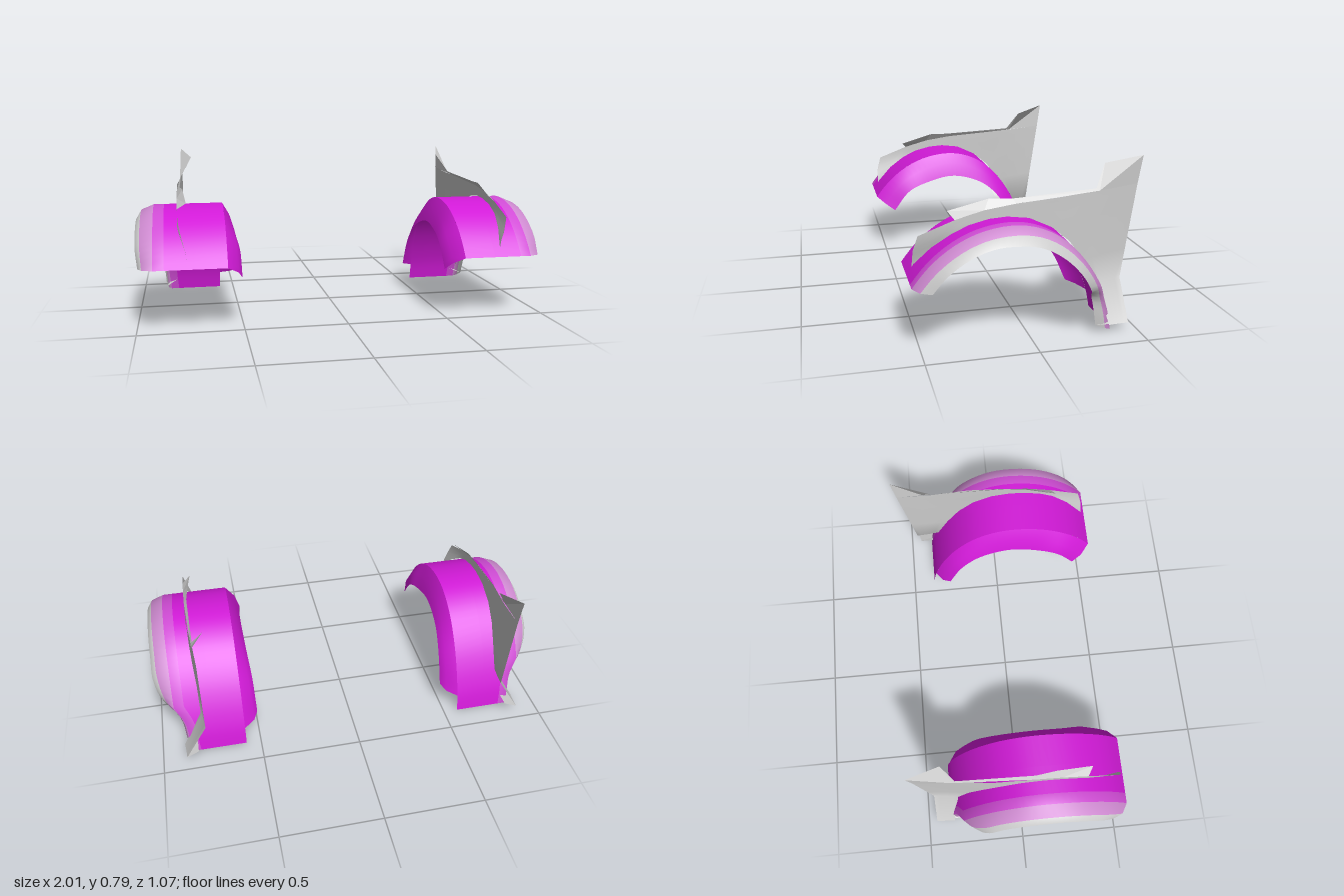
import * as THREE from 'three';

const N = 36; // stations along each arch
const paint = (color, flatShading = false) =>
  new THREE.MeshStandardMaterial({ color, flatShading, side: THREE.DoubleSide });
const magenta = paint(0xd21ad8);
const blendInner = paint(0xd04cd5);
const blendOuter = paint(0xce8ad0);
const grey = paint(0xcccccc);
const greyFlat = paint(0xcccccc, true);

const V = (x, y, z) => new THREE.Vector3(x, y, z);
const toRow = pts => pts.map(p => V(...p));
const spline = pts => new THREE.CatmullRomCurve3(toRow(pts)).getSpacedPoints(N);
const lerpRow = (a, b, t) => a.map((p, i) => p.clone().lerp(b[i], t));

// Skin between rows of points; indexFor gives the faces between two row numbers
function loft(rows) {
  const n = rows[0].length;
  const geo = new THREE.BufferGeometry();
  geo.setAttribute('position', new THREE.Float32BufferAttribute(rows.flat().flatMap(p => [p.x, p.y, p.z]), 3));
  const indexFor = (from, to) => {
    const idx = [];
    for (let r = from; r < to; r++) {
      for (let i = 0; i < n - 1; i++) {
        const a = r * n + i, b = a + 1, c = a + n, d = c + 1;
        idx.push(a, b, c, b, d, c);
      }
    }
    return idx;
  };
  geo.setIndex(indexFor(0, rows.length - 1));
  geo.computeVertexNormals();
  return { geo, indexFor };
}

function mesh(name, geo, material) {
  const m = new THREE.Mesh(geo, material);
  m.name = name;
  return m;
}

// Wheel arch profile, front to rear, as [y, z]
const archPath = [[0.31, 0.537], [0.37, 0.49], [0.43, 0.43], [0.49, 0.345], [0.535, 0.24], [0.555, 0.11],
  [0.54, 0], [0.49, -0.105], [0.42, -0.185], [0.33, -0.255], [0.24, -0.305], [0.17, -0.335], [0.09, -0.362], [0.002, -0.38]];

function createFender() {
  const fender = new THREE.Group();

  // Arch skin: crown, rounded shoulder and outer lip
  const crown = spline(archPath.map(([y, z]) => [0.575, y, z]));
  const lip = spline([[0.985, 0.305, 0.46], [0.997, 0.38, 0.4], [1, 0.45, 0.3], [1, 0.485, 0.2], [1, 0.49, 0.11],
    [1, 0.475, 0], [1, 0.42, -0.1], [1, 0.34, -0.18], [0.965, 0.25, -0.237], [0.905, 0.2, -0.26],
    [0.885, 0.16, -0.275], [0.878, 0.1, -0.288], [0.87, 0.038, -0.3]]);
  const shoulder = crown.map((p, i) => V(Math.min(0.915, lip[i].x - 0.02), p.y, p.z));
  const bulge = shoulder.map((p, i) => {
    const q = p.clone().lerp(lip[i], 0.38);
    q.x = THREE.MathUtils.lerp(p.x, lip[i].x, 0.72);
    return q;
  });
  const arch = loft([crown, lerpRow(crown, shoulder, 0.45), lerpRow(crown, shoulder, 0.85), shoulder, bulge, lip]);
  const bands = [['archCrown', 0, 2, magenta], ['archShoulder', 2, 3, blendInner],
    ['archBulge', 3, 4, blendOuter], ['archLip', 4, 5, grey]];
  for (const [name, from, to, material] of bands) {
    const part = arch.geo.clone();
    part.setIndex(arch.indexFor(from, to));
    fender.add(mesh(name, part, material));
  }

  // Inner skirt turning down from the crown
  const skirtTop = spline(archPath.slice(0, 13).map(([y, z]) => [0.575, y, z]));
  const skirtEdge = spline([[0.503, 0.24, 0.44], [0.505, 0.35, 0.35], [0.515, 0.397, 0.24], [0.52, 0.427, 0.08],
    [0.515, 0.378, -0.09], [0.505, 0.28, -0.2], [0.5, 0.12, -0.28]]);
  const skirtMid = lerpRow(skirtTop, skirtEdge, 0.45);
  skirtMid.forEach((p, i) => { p.x = skirtEdge[i].x + 0.022; });
  fender.add(mesh('innerSkirt', loft([skirtEdge, skirtMid, skirtTop]).geo, magenta));

  // Upright side panel: pairs of [lower y, lower z, upper y, upper z]
  const pairs = [[0.35, 0.514, 0.43, 0.51], [0.362, 0.507, 0.5, 0.49], [0.44, 0.43, 0.56, 0.33], [0.498, 0.345, 0.578, 0.265],
    [0.533, 0.27, 0.595, 0.2], [0.555, 0.18, 0.605, 0.13], [0.56, 0.1, 0.615, 0.06], [0.547, 0, 0.63, -0.13],
    [0.497, -0.105, 0.645, -0.33], [0.425, -0.19, 0.665, -0.515], [0.33, -0.262, 0.36, -0.47],
    [0.21, -0.325, 0.22, -0.45], [0.04, -0.36, 0.04, -0.455]];
  // The panel leans inward to front and rear and flares out at the foot
  const { smoothstep, lerp } = THREE.MathUtils;
  const panelX = (y, z) => z > 0.2
    ? 0.8 - 0.04 * (1 - smoothstep(y, 0.34, 0.52))
    : 0.8 - 0.03 * smoothstep(-z, 0.1, 0.47) + 0.11 * (1 - THREE.MathUtils.clamp((y - 0.04) / 0.18, 0, 1));
  const panelRows = [];
  for (let r = 0; r <= 5; r++) {
    panelRows.push(pairs.map(([y0, z0, y1, z1]) => {
      const y = lerp(y0, y1, r / 5), z = lerp(z0, z1, r / 5);
      return V(panelX(y, z), y, z);
    }));
  }
  fender.add(mesh('sidePanel', loft(panelRows).geo, grey));

  // Narrow flange folded inward along the panel top
  const flangeLow = [[0.8, 0.56, 0.33], [0.8, 0.595, 0.2], [0.8, 0.615, 0.06], [0.784, 0.645, -0.33]];
  const flangeHigh = [[0.757, 0.59, 0.355], [0.772, 0.638, 0.175], [0.785, 0.635, 0.07], [0.778, 0.655, -0.315]];
  fender.add(mesh('topFlange', loft([flangeLow, flangeHigh].map(toRow)).geo, greyFlat));

  // Raised rear wing, creased from its front foot to its tip
  const tip = [0.775, 0.795, -0.535];
  const wingLow = [[0.778, 0.655, -0.315], [0.784, 0.645, -0.33], [0.77, 0.665, -0.515]];
  const wingHigh = [[0.72, 0.755, -0.375], tip, tip];
  fender.add(mesh('rearWing', loft([wingLow, wingHigh].map(toRow)).geo, greyFlat));

  // Small ledge closing the panel foot
  const ledge = [[[0.88, 0.04, -0.455], [0.87, 0.038, -0.3]], [[0.82, 0.055, -0.44], [0.82, 0.055, -0.365]]];
  fender.add(mesh('footLedge', loft(ledge.map(toRow)).geo, greyFlat));
  return fender;
}

export function createModel() {
  const model = new THREE.Group();
  model.name = 'frontFenders';
  const left = createFender();
  left.name = 'leftFender';
  const right = createFender();
  right.name = 'rightFender';
  right.scale.x = -1;
  model.add(left, right);
  return model;
}
